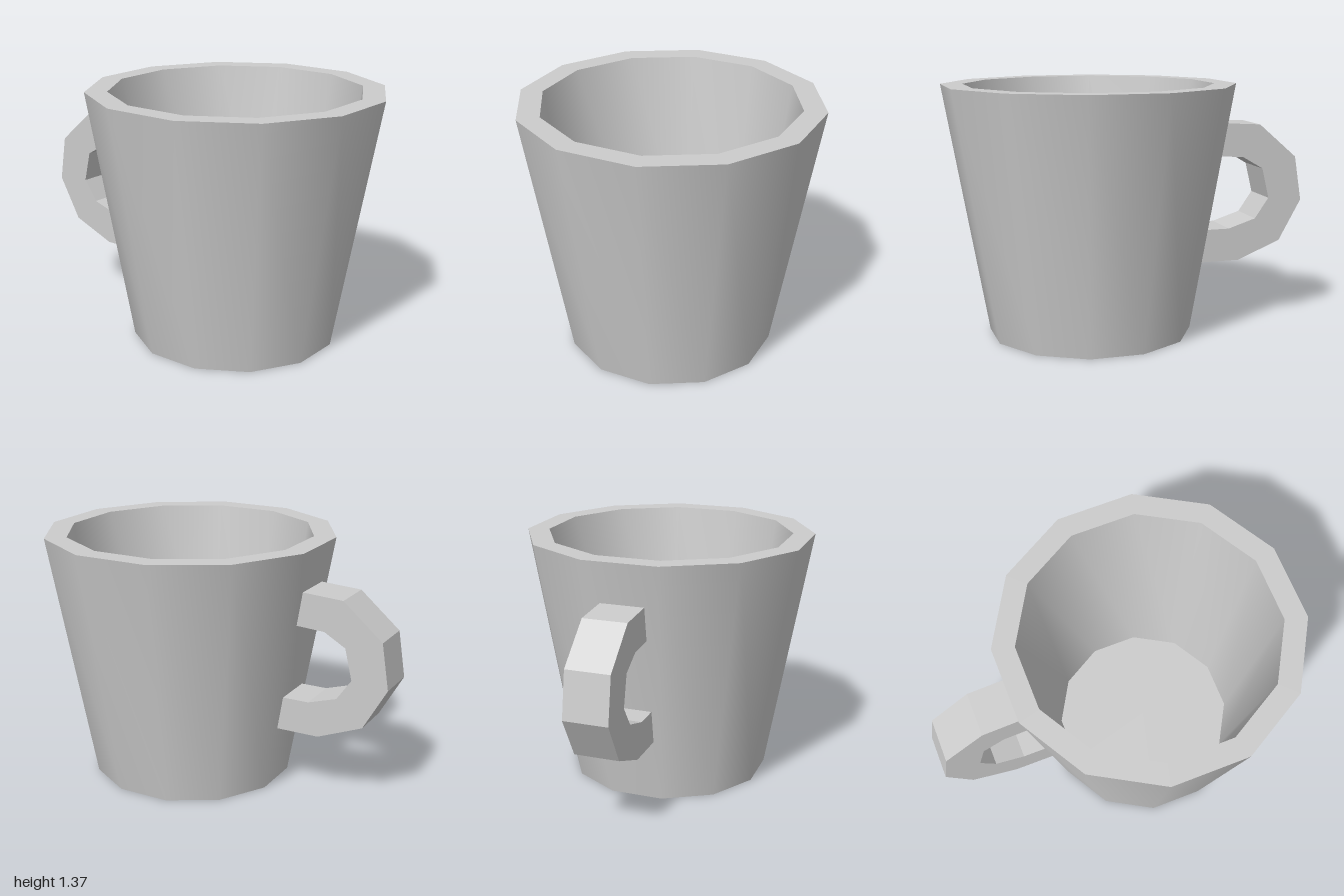
import * as THREE from 'three';
import { toCreasedNormals } from 'three/addons/utils/BufferGeometryUtils.js';

const SIDES = 12;
const CUP_X = 0.22;

// Profile points from the axis, up the outside, over the rim and down to the inner floor
const cupProfile = [
  [0, 0], [0.56, 0], [0.8, 1.37], [0.68, 1.37], [0.497, 0.16], [0, 0.16],
];

// Handle outline: outer bend from top to bottom, then inner bend back up
const handleOuter = [
  [-0.46, 1.147], [-0.74, 1.13], [-0.96, 0.94], [-1, 0.69], [-0.87, 0.46], [-0.62, 0.36], [-0.34, 0.36],
];
const handleInner = [
  [-0.36, 0.545], [-0.56, 0.545], [-0.72, 0.595], [-0.8, 0.71], [-0.76, 0.88], [-0.64, 0.95], [-0.44, 0.962],
];
const HANDLE_WIDTH = 0.24;

const toPoints = (list) => list.map(([x, y]) => new THREE.Vector2(x, y));

export function createModel() {
  const group = new THREE.Group();
  group.name = 'mug';
  const material = new THREE.MeshStandardMaterial({ color: 0xcccccc });

  // Twelve-sided tapered cup, smooth around the wall and sharp at the rims
  const cupGeometry = new THREE.LatheGeometry(toPoints(cupProfile), SIDES, Math.PI / SIDES);
  const cup = new THREE.Mesh(toCreasedNormals(cupGeometry, 0.7), material);
  cup.name = 'cup';
  cup.position.x = CUP_X;
  group.add(cup);

  // Faceted handle whose ends sink into the wall
  const handleShape = new THREE.Shape(toPoints([...handleOuter, ...handleInner]));
  const handleGeometry = new THREE.ExtrudeGeometry(handleShape, { depth: HANDLE_WIDTH, bevelEnabled: false });
  handleGeometry.translate(0, 0, -HANDLE_WIDTH / 2);
  const handle = new THREE.Mesh(handleGeometry, material);
  handle.name = 'handle';
  group.add(handle);

  return group;
}
